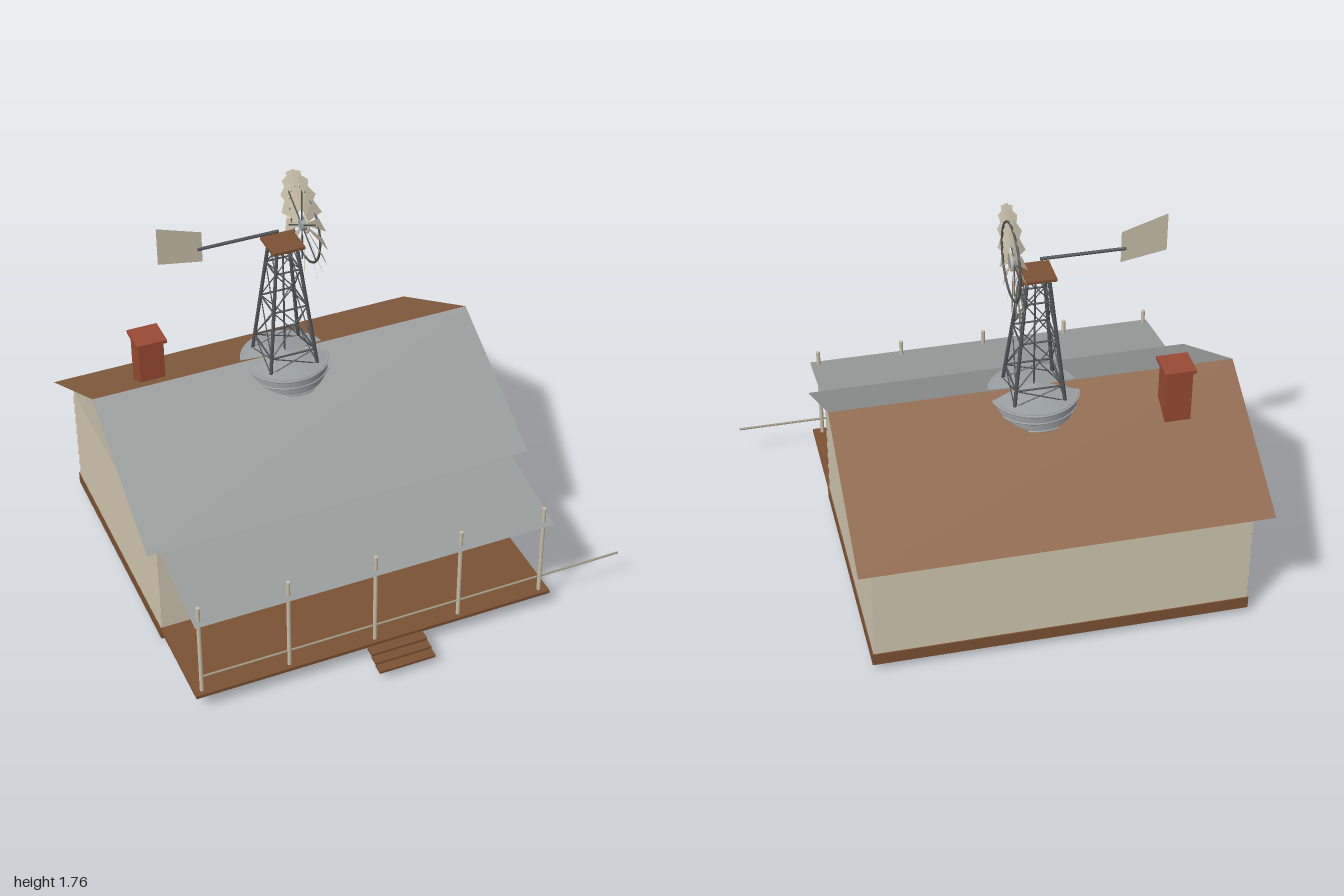
import * as THREE from 'three';

const mat = (name, color, side = THREE.FrontSide) => {
  const m = new THREE.MeshStandardMaterial({ color, side });
  m.name = name;
  return m;
};

export function createModel() {
  const cream = mat('cream boards', 0xc8bfa9, THREE.DoubleSide);
  const wood = mat('brown wood', 0x7b5234);
  const tin = mat('grey roof tin', 0x989c9b, THREE.DoubleSide);
  const rust = mat('rusty roof', 0x8a6344, THREE.DoubleSide);
  const brick = mat('red brick', 0x984a34);
  const iron = mat('dark iron', 0x515558);
  const steel = mat('tank steel', 0x9a9fa2);
  const trim = mat('grey tan trim', 0xa39c87);
  const olive = mat('olive patch', 0x6a5a20);

  const root = new THREE.Group();
  root.name = 'windmillHouse';
  const add = (name, geo, material, parent = root) => {
    const m = new THREE.Mesh(geo, material);
    m.name = name;
    parent.add(m);
    return m;
  };
  const group = (name) => {
    const g = new THREE.Group();
    g.name = name;
    root.add(g);
    return g;
  };
  // box given by its two extreme corners
  const box = (name, x0, x1, y0, y1, z0, z1, material, parent) => {
    const g = new THREE.BoxGeometry(x1 - x0, y1 - y0, z1 - z0);
    g.translate((x0 + x1) / 2, (y0 + y1) / 2, (z0 + z1) / 2);
    return add(name, g, material, parent);
  };
  // round bar between two points
  const bar = (name, a, b, r, material, parent, sides = 6) => {
    const p = new THREE.Vector3(...a), q = new THREE.Vector3(...b);
    const m = add(name, new THREE.CylinderGeometry(r, r, p.distanceTo(q), sides), material, parent);
    m.position.copy(p).lerp(q, 0.5);
    m.quaternion.setFromUnitVectors(new THREE.Vector3(0, 1, 0), q.sub(p).normalize());
    return m;
  };
  // flat face from a fan of corners
  const face = (name, pts, material, parent) => {
    const g = new THREE.BufferGeometry();
    g.setAttribute('position', new THREE.Float32BufferAttribute(pts.flat(), 3));
    const idx = [];
    for (let i = 1; i < pts.length - 1; i++) idx.push(0, i, i + 1);
    g.setIndex(idx);
    g.computeVertexNormals();
    return add(name, g, material, parent);
  };

  const X0 = -0.94, X1 = 0.655, Z0 = -0.8, Z1 = 0.32, RZ = -0.242;

  // foundation and lapped wall boards
  box('foundation', X0 - 0.003, X1 + 0.005, 0.035, 0.09, Z0 - 0.005, Z1 + 0.002, wood);
  const walls = group('walls');
  const courses = 8, h = 0.465 / courses;
  for (let i = 0; i < courses; i++) {
    const g = new THREE.BoxGeometry(X1 - X0, h, Z1 - Z0);
    const p = g.attributes.position;
    for (let k = 0; k < p.count; k++) {
      if (p.getY(k) < 0) continue;
      p.setX(k, p.getX(k) - Math.sign(p.getX(k)) * 0.006);
      p.setZ(k, p.getZ(k) - Math.sign(p.getZ(k)) * 0.006);
    }
    g.computeVertexNormals();
    g.translate((X0 + X1) / 2, 0.09 + h * (i + 0.5), (Z0 + Z1) / 2);
    add('wallCourse', g, cream, walls);
  }

  // gables and the two roof slopes
  for (const x of [X0, X1])
    face('gable', [[x, 0.57, Z1], [x, 0.57, Z0], [x, 0.91, RZ]], cream);
  face('frontRoof', [[-1, 0.57, 0.39], [0.715, 0.57, 0.39], [0.715, 0.92, RZ], [-1, 0.92, RZ]], tin);
  face('backRoof', [[0.715, 0.57, -0.88], [-1, 0.57, -0.88], [-1, 0.92, RZ], [0.715, 0.92, RZ]], rust);
  box('eaveBoard', -0.82, 0.54, 0.55, 0.64, 0.22, 0.24, wood);

  // door, windows and sills
  box('door', -0.135, 0.015, 0.09, 0.43, 0.319, 0.326, wood);
  for (const x of [-0.652, -0.33, 0.21, 0.43]) {
    box('window', x - 0.08, x + 0.08, 0.245, 0.43, 0.316, 0.323, cream);
    box('windowSill', x - 0.09, x + 0.09, 0.237, 0.245, 0.316, 0.337, trim);
  }

  // porch
  const porch = group('porch');
  box('porchDeck', X0 - 0.003, X1 + 0.005, 0.08, 0.095, Z1, 0.755, wood, porch);
  face('porchRoof', [[X0 + 0.005, 0.47, 0.76], [X1, 0.47, 0.76], [X1, 0.55, Z1], [X0 + 0.005, 0.55, Z1]], tin, porch);
  for (let i = 0; i < 5; i++) {
    const x = -0.91 + i * 0.3825;
    bar('porchPost', [x, 0.09, 0.728], [x, 0.545, 0.728], 0.009, cream, porch, 8);
  }
  bar('porchRail', [-0.91, 0.17, 0.728], [1, 0.17, 0.728], 0.005, trim, porch);
  for (let i = 0; i < 3; i++) {
    const z = 0.755 + i * 0.042, y = 0.07 - i * 0.0115;
    box('step', -0.19, 0.062, y, y + 0.012, z, z + 0.046, wood, porch);
  }

  // chimney
  box('chimney', -0.755, -0.645, 0.74, 1.04, -0.457, -0.35, brick);
  box('chimneyCap', -0.765, -0.632, 1.04, 1.055, -0.472, -0.338, brick);

  // everything below is centred on the tower axis
  const mill = group('windmill');
  mill.position.set(-0.142, 0, RZ);

  // water tank
  const tank = add('tank', new THREE.CylinderGeometry(0.185, 0.185, 0.345, 40), steel, mill);
  tank.position.y = 0.7275;
  const lid = add('tankLid', new THREE.ConeGeometry(0.192, 0.035, 40), steel, mill);
  lid.position.y = 0.9145;
  for (const y of [0.558, 0.64, 0.73, 0.82, 0.858, 0.893]) {
    const t = add('tankBand', new THREE.TorusGeometry(0.187, 0.004, 6, 40), steel, mill);
    t.rotation.x = Math.PI / 2;
    t.position.y = y;
  }

  // tapered tower with cross bracing
  const half = (y) => 0.106 - (y - 0.9) / 0.57 * 0.062;
  const corner = (i, y) => {
    const a = (i + 0.5) * Math.PI / 2, r = half(y) * Math.SQRT2;
    return [Math.cos(a) * r, y, Math.sin(a) * r];
  };
  const levels = [0.9, 0.972, 1.185, 1.36, 1.465];
  for (let i = 0; i < 4; i++) {
    bar('towerLeg', corner(i, 0.9), corner(i, 1.465), 0.008, iron, mill, 8);
    for (let k = 0; k < 4; k++) {
      const a = levels[k], b = levels[k + 1];
      if (k) bar('towerBeam', corner(i, a), corner(i + 1, a), 0.004, iron, mill);
      bar('towerBrace', corner(i, a), corner(i + 1, b), 0.0025, iron, mill);
      bar('towerBrace', corner(i + 1, a), corner(i, b), 0.0025, iron, mill);
    }
  }
  bar('wellPipe', [0, 0, 0], [0, 0.56, 0], 0.01, iron, mill, 10);
  bar('pumpRod', [0, 0.9, 0], [0, 1.465, 0], 0.004, iron, mill);
  box('platform', -0.072, 0.072, 1.463, 1.475, -0.072, 0.072, wood, mill);

  // tail boom and vane
  bar('tailBoom', [-0.37, 1.532, 0], [-0.018, 1.532, 0], 0.007, iron, mill, 8);
  face('tailVane', [[-0.35, 1.47, 0], [-0.35, 1.61, 0], [-0.54, 1.672, 0], [-0.54, 1.503, 0]], cream, mill);

  // wheel, facing +x
  const wheel = new THREE.Group();
  wheel.name = 'wheel';
  wheel.position.set(0.094, 1.535, 0);
  mill.add(wheel);
  for (let i = 0; i < 18; i++) {
    const arm = new THREE.Group();
    arm.name = 'bladeArm';
    arm.rotation.x = i * Math.PI / 9;
    wheel.add(arm);
    face('blade', [[0.003, 0.06, 0.009], [-0.003, 0.06, -0.009], [-0.01, 0.23, -0.029], [0.01, 0.23, 0.029]], cream, arm);
    if (i % 3 === 0) bar('spoke', [-0.008, 0.02, 0], [-0.008, 0.165, 0], 0.003, iron, arm);
  }
  const ring = (name, r, tube, x, material) => {
    const t = add(name, new THREE.TorusGeometry(r, tube, 8, 40), material, wheel);
    t.rotation.y = Math.PI / 2;
    t.position.x = x;
  };
  ring('wheelRing', 0.16, 0.005, 0.006, iron);
  ring('hubRing', 0.033, 0.006, 0.008, cream);
  bar('hub', [-0.016, 0, 0], [0.014, 0, 0], 0.024, steel, wheel, 20);

  // flat patches beneath the floor
  for (const [x, r] of [[0.19, 0.05], [-0.14, 0.045], [-0.22, 0.05]]) {
    const p = add('floorPatch', new THREE.CylinderGeometry(r, r, 0.004, 10), olive, mill);
    p.position.set(x, 0.0345, 0);
    p.scale.z = 0.6;
  }

  return root;
}
